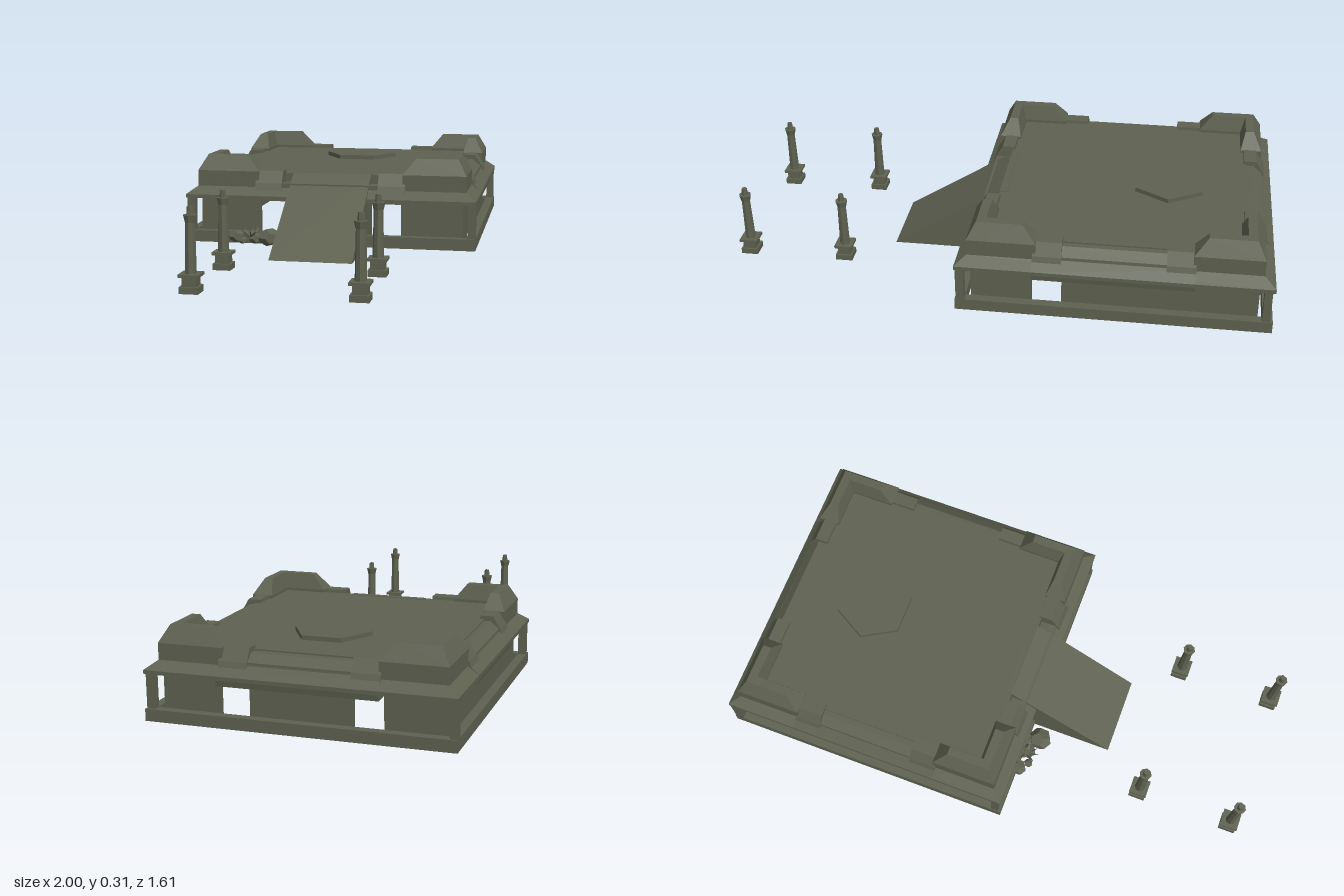
import * as THREE from 'three';
import { ConvexGeometry } from 'three/addons/geometries/ConvexGeometry.js';

const olive = new THREE.MeshStandardMaterial({ color: 0x5e6150, flatShading: true, side: THREE.DoubleSide });
olive.name = 'olive stone';

function add(parent, name, geometry, x = 0, y = 0, z = 0) {
  const mesh = new THREE.Mesh(geometry, olive);
  mesh.name = name;
  mesh.position.set(x, y, z);
  parent.add(mesh);
  return mesh;
}

// Box given by its minimum and maximum corners
function block(parent, name, [x0, y0, z0], [x1, y1, z1]) {
  return add(parent, name, new THREE.BoxGeometry(x1 - x0, y1 - y0, z1 - z0),
    (x0 + x1) / 2, (y0 + y1) / 2, (z0 + z1) / 2);
}

// Nearly square ring swept from a section of [half width, height] pairs
function squareRing(parent, name, section) {
  const pts = section.map(([h, y]) => new THREE.Vector2(h * Math.SQRT2, y));
  const geometry = new THREE.LatheGeometry(pts, 4, Math.PI / 4).scale(1.018, 1, 1);
  return add(parent, name, geometry);
}

// Convex solid from level rectangles [y, x0, x1, z0, z1]
function hull(parent, name, levels) {
  const pts = [];
  for (const [y, x0, x1, z0, z1] of levels)
    for (const x of [x0, x1]) for (const z of [z0, z1]) pts.push(new THREE.Vector3(x, y, z));
  return add(parent, name, new ConvexGeometry(pts));
}

// One side of the platform, facing local +z; walls are [start, end] spans
function makeSide(walls, hasRamp) {
  const side = new THREE.Group();
  side.name = hasRamp ? 'entranceSide' : 'platformSide';
  block(side, 'cornerPost', [0.485, 0.03, 0.48], [0.511, 0.16, 0.508]);
  for (const [start, end] of walls)
    block(side, 'wall', [start, 0, 0.445], [end, 0.16, 0.465]);

  for (const s of [-1, 1]) {
    // Raised corner rampart with sloping edges
    const arm = hull(side, 'cornerRampart', [
      [0.17, 0.255, 0.475, 0.4, 0.475],
      [0.25, 0.255, 0.475, 0.4, 0.475],
      [0.305, 0.3, 0.445, 0.415, 0.445],
    ]);
    // Lower step beside the rampart
    const step = hull(side, 'rampartStep', [
      [0.17, 0.17, 0.265, 0.405, 0.495],
      [0.21, 0.17, 0.265, 0.405, 0.48],
      [0.252, 0.17, 0.26, 0.41, 0.455],
    ]);
    arm.scale.x = step.scale.x = s;
  }
  if (!hasRamp) {
    // Lip and parapet between the steps
    hull(side, 'middleLip', [
      [0.135, -0.265, 0.265, 0.465, 0.505],
      [0.168, -0.265, 0.265, 0.42, 0.511],
      [0.2, -0.265, 0.265, 0.42, 0.478],
    ]);
    hull(side, 'middleParapet', [
      [0.17, -0.18, 0.18, 0.41, 0.48],
      [0.21, -0.18, 0.18, 0.41, 0.475],
      [0.235, -0.18, 0.18, 0.41, 0.445],
    ]);
  }
  return side;
}

function makePillar(x, z) {
  const pillar = new THREE.Group();
  pillar.name = 'pillar';
  block(pillar, 'foot', [-0.029, 0, -0.029], [0.029, 0.02, 0.029]);
  block(pillar, 'pedestal', [-0.022, 0.02, -0.022], [0.022, 0.048, 0.022]);
  block(pillar, 'collar', [-0.031, 0.048, -0.031], [0.031, 0.057, 0.031]);
  add(pillar, 'shaft', new THREE.CylinderGeometry(0.015, 0.018, 0.155, 8), 0, 0.134, 0);
  add(pillar, 'capital', new THREE.CylinderGeometry(0.021, 0.016, 0.022, 8), 0, 0.217, 0);
  add(pillar, 'finial', new THREE.CylinderGeometry(0.009, 0.011, 0.025, 6), 0, 0.24, 0);
  pillar.position.set(x, 0, z);
  pillar.rotation.y = Math.PI / 6;
  return pillar;
}

export function createModel() {
  const model = new THREE.Group();
  model.name = 'landingPlatform';

  const platform = new THREE.Group();
  platform.name = 'platform';
  platform.position.set(0.29, 0, -0.105);
  platform.rotation.y = Math.PI / 6;
  model.add(platform);

  // Kerb, roof skirt and deck
  squareRing(platform, 'kerb', [[0.48, 0], [0.511, 0], [0.511, 0.04], [0.48, 0.04], [0.48, 0]]);
  squareRing(platform, 'roofSkirt', [
    [0.42, 0.155], [0.511, 0.155], [0.511, 0.168], [0.475, 0.195], [0.475, 0.21], [0.42, 0.21], [0.42, 0.155],
  ]);
  block(platform, 'deck', [-0.425, 0.19, -0.425], [0.425, 0.24, 0.425]);
  const pad = add(platform, 'hexagonPad', new THREE.CylinderGeometry(0.135, 0.135, 0.02, 6), 0.159, 0.245, 0.005);
  pad.rotation.y = Math.PI / 3;

  // Four sides: one gap, two gaps, closed, and the last one open around the ramp
  const spans = [
    [[-0.465, -0.27], [-0.17, 0.465]],
    [[-0.465, -0.27], [-0.17, 0.17], [0.27, 0.465]],
    [[-0.465, 0.465]],
    [[-0.465, -0.25], [0.25, 0.465]],
  ];
  spans.forEach((walls, i) => {
    const side = makeSide(walls, i === 3);
    side.rotation.y = i * Math.PI / 2;
    side.position.x = [0, 0.008, 0, -0.008][i];
    platform.add(side);
  });

  // Solid ramp rising to the deck
  const wedge = new THREE.Shape([
    new THREE.Vector2(-0.807, 0), new THREE.Vector2(-0.4, 0),
    new THREE.Vector2(-0.4, 0.242), new THREE.Vector2(-0.425, 0.242),
  ]);
  add(platform, 'ramp', new THREE.ExtrudeGeometry(wedge, { depth: 0.278, bevelEnabled: false }), 0, 0, -0.141);

  for (const [x, z] of [[-0.665, 0.16], [-0.96, 0.33], [-0.42, 0.59], [-0.715, 0.765]])
    model.add(makePillar(x, z));

  // Rubble heap beside the ramp
  const rubble = new THREE.Group();
  rubble.name = 'rubble';
  for (const [x, y, z, r] of [
    [-0.295, 0.032, 0.005, 0.042], [-0.3, 0.022, -0.055, 0.027],
    [-0.325, 0.025, -0.125, 0.03], [-0.27, 0.02, -0.03, 0.022], [-0.335, 0.015, -0.085, 0.016],
  ]) {
    const stone = add(rubble, 'boulder', new THREE.DodecahedronGeometry(r), x, y, z);
    stone.scale.y = 0.75;
  }
  for (let i = 0; i < 7; i++) {
    const a = i * 2.4;
    const shard = add(rubble, 'shard', new THREE.ConeGeometry(0.008, 0.05, 4),
      -0.31 + 0.022 * Math.cos(a), 0.04, -0.07 + 0.022 * Math.sin(a));
    shard.rotation.set(Math.sin(a) * 0.9, 0, -Math.cos(a) * 0.9);
  }
  model.add(rubble);
  return model;
}
